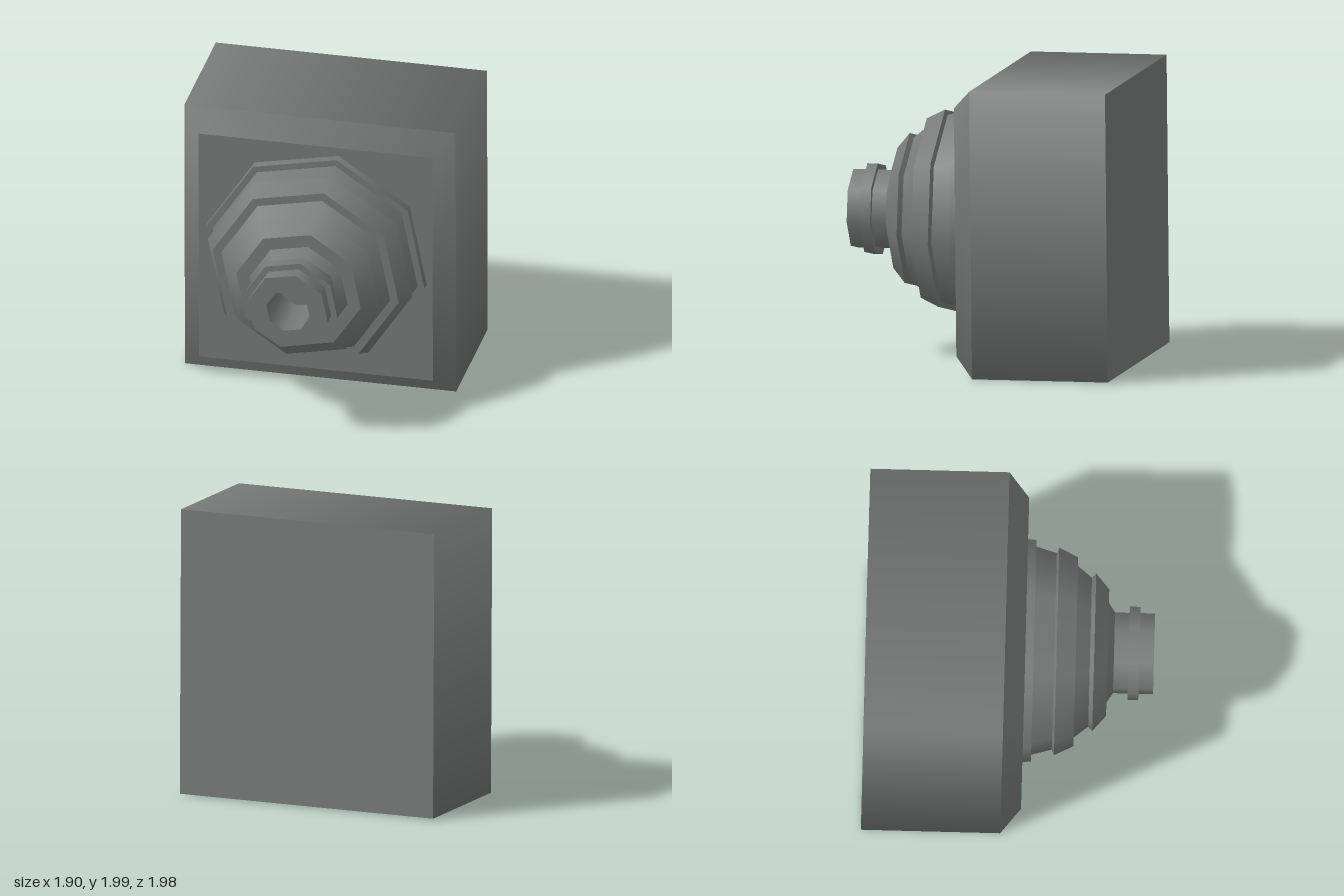
import * as THREE from 'three';
import { mergeGeometries } from 'three/addons/utils/BufferGeometryUtils.js';

// Faceted solid along z from [radius, z] points: smooth around, sharp between bands
function turned(profile, sides, phase) {
  const bands = [];
  for (let i = 0; i < profile.length - 1; i++) {
    const pair = [profile[i], profile[i + 1]].map(([r, z]) => new THREE.Vector2(r, z));
    bands.push(new THREE.LatheGeometry(pair, sides, phase));
  }
  return mergeGeometries(bands).rotateX(Math.PI / 2);
}

export function createModel() {
  const model = new THREE.Group();
  const gray = new THREE.MeshStandardMaterial({ color: 0x777a79 });
  gray.name = 'darkGray';

  // Whole assembly leans forward very slightly
  const assembly = new THREE.Group();
  assembly.name = 'assembly';
  assembly.position.y = 1;
  assembly.rotation.x = 0.01;
  model.add(assembly);

  const add = (name, geometry, x = 0, y = 0) => {
    const mesh = new THREE.Mesh(geometry, gray);
    mesh.name = name;
    mesh.position.set(x, y, 0);
    assembly.add(mesh);
  };

  // Square housing with a chamfered front
  const q = Math.SQRT2;
  add('housing', turned(
    [[0, -0.976], [q, -0.976], [q, -0.028], [0.862 * q, 0.11], [0, 0.11]],
    4, Math.PI / 4).scale(0.948, 0.99, 1));

  // Stepped octagonal cone: base flange and two sharp ridges
  const twist = -0.195;
  add('steppedCone', turned([
    [0.782, 0.1], [0.777, 0.168], [0.73, 0.168],
    [0.69, 0.308], [0.728, 0.324], [0.662, 0.455], [0.602, 0.455],
    [0.522, 0.552], [0.553, 0.58], [0.443, 0.672], [0.35, 0.672], [0.283, 0.715],
  ], 8, twist), 0.01, 0.028);

  // Nozzle with a collar and a bored hole
  add('nozzle', turned([
    [0.283, 0.7], [0.283, 0.815], [0.327, 0.815], [0.327, 0.888],
    [0.283, 0.888], [0.283, 0.988], [0.155, 0.988], [0.155, 0.6], [0, 0.6],
  ], 8, twist), 0.01, 0.028);

  return model;
}
